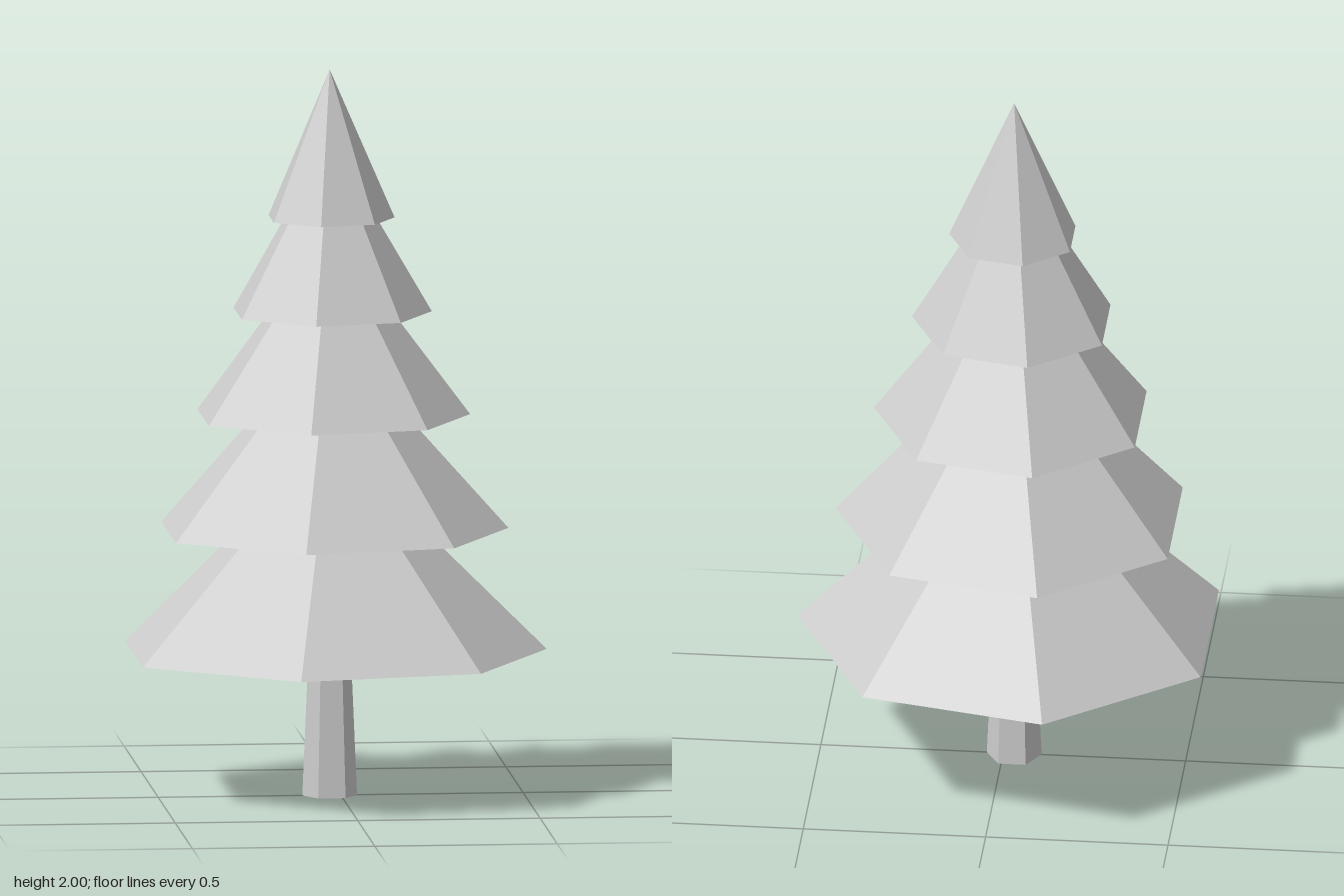
import * as THREE from 'three';

export function createModel() {
  const tree = new THREE.Group();
  tree.name = 'pineTree';
  const grey = new THREE.MeshStandardMaterial({ color: 0xcccccc, flatShading: true });
  grey.name = 'light grey';
  const axisX = -0.03;

  // Faceted upright frustum or cone with one corner towards +x
  function addTier(name, rTop, rBottom, y0, y1, sides) {
    const geo = new THREE.CylinderGeometry(rTop, rBottom, y1 - y0, sides, 1, false, Math.PI / 2);
    const mesh = new THREE.Mesh(geo, grey);
    mesh.name = name;
    mesh.position.set(axisX, (y0 + y1) / 2, 0);
    tree.add(mesh);
  }

  // Six-sided tapering trunk
  addTier('trunk', 0.057, 0.075, 0, 0.42, 6);

  // Seven-sided foliage cones: [radius, base height, apex height]
  const tiers = [
    [0.595, 0.395, 0.985],
    [0.49, 0.73, 1.28],
    [0.385, 1.045, 1.56],
    [0.28, 1.33, 1.81],
    [0.178, 1.59, 2],
  ];
  tiers.forEach(([r, y0, y1], i) => addTier(`foliageTier${i + 1}`, 0, r, y0, y1, 7));

  return tree;
}
